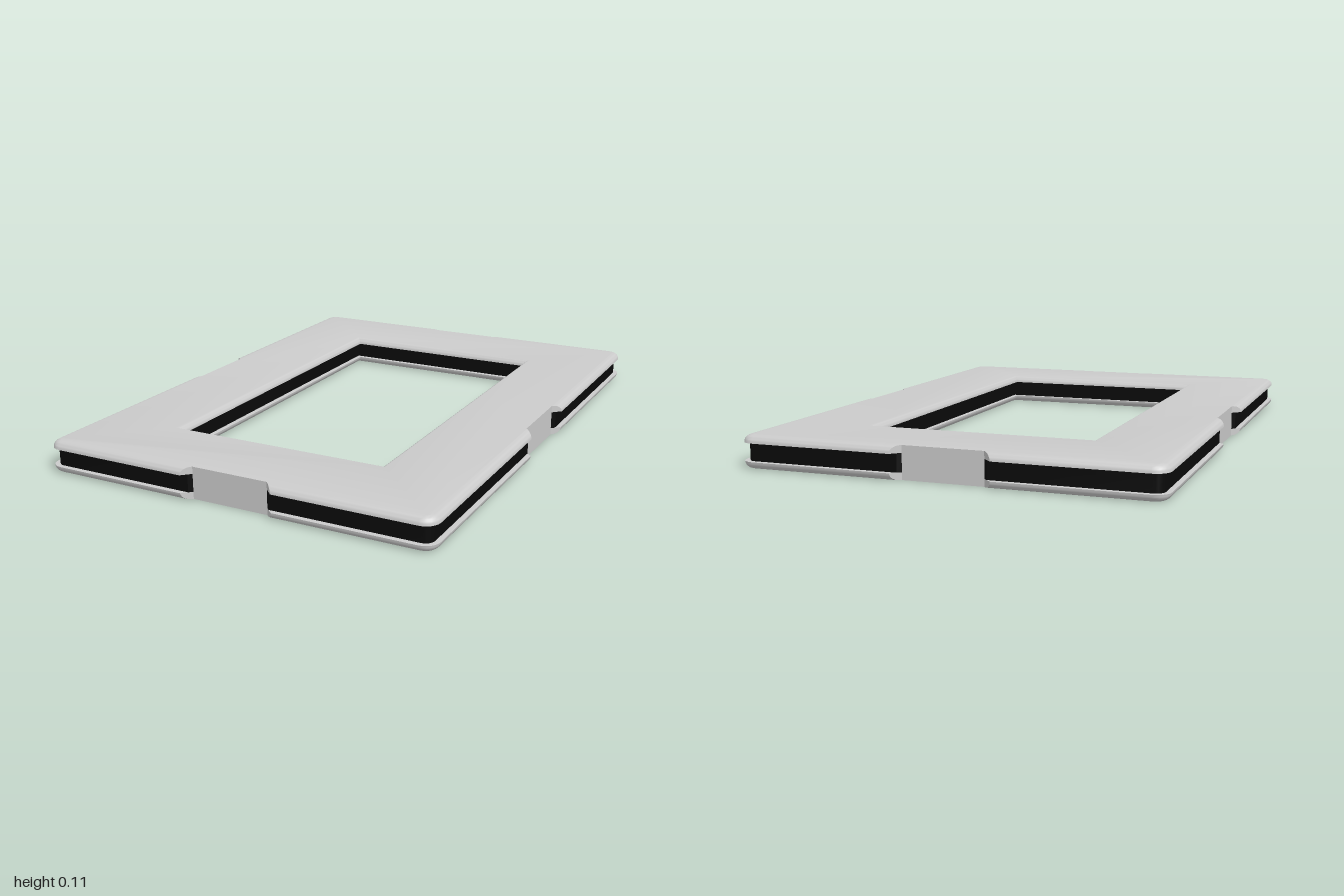
import * as THREE from 'three';
import { mergeGeometries, toCreasedNormals } from 'three/addons/utils/BufferGeometryUtils.js';

const HX = 0.72, HZ = 1;          // outer half size
const IX = 0.39, IZ = 0.67;       // opening half size
const MID = 0.056, CORE = 0.031;  // half of total height, half of core height
const CORNER = 0.05, ROUND_IN = 0.027, ROUND_UP = 0.025;
const NOTCH = 0.03, NOTCH_HALF = 0.17, GROOVE = 0.018;

// Outer outline inset by d, with a chamfered notch of fixed depth in every side
function outerLoop(d, notch = NOTCH) {
  const pts = [];
  for (let k = 0; k < 4; k++) {
    const [A, B] = k % 2 ? [HX, HZ] : [HZ, HX];
    const side = [
      [-(NOTCH_HALF - d), A - d], [-(NOTCH_HALF - notch), A - notch],
      [NOTCH_HALF - notch, A - notch], [NOTCH_HALF - d, A - d],
    ];
    for (let i = 0; i <= 6; i++) {
      const a = (i / 6) * Math.PI / 2, r = CORNER - d;
      side.push([B - CORNER + r * Math.sin(a), A - CORNER + r * Math.cos(a)]);
    }
    for (const [t, n] of side) pts.push([[t, -n], [n, t], [-t, n], [-n, -t]][k]);
  }
  return pts;
}

// Opening outline grown by d, running the other way round
function innerLoop(d) {
  const x = IX + d, z = IZ + d;
  return [[-x, -z], [-x, z], [x, z], [x, -z]];
}

// Wall joining two matching outlines at heights y0 and y1
function band(lower, y0, upper, y1) {
  const pos = [], n = lower.length;
  for (let i = 0; i < n; i++) {
    const j = (i + 1) % n;
    const a = [lower[i][0], y0, -lower[i][1]], b = [lower[j][0], y0, -lower[j][1]];
    const c = [upper[j][0], y1, -upper[j][1]], e = [upper[i][0], y1, -upper[i][1]];
    pos.push(...a, ...b, ...c, ...a, ...c, ...e);
  }
  const g = new THREE.BufferGeometry();
  g.setAttribute('position', new THREE.Float32BufferAttribute(pos, 3));
  return g;
}

// Flat frame-shaped face, looking up or down
function cap(d, y, up) {
  const toV = (p) => new THREE.Vector2(p[0], p[1]);
  const shape = new THREE.Shape(outerLoop(d).map(toV));
  shape.holes.push(new THREE.Path(innerLoop(d).map(toV)));
  const g = new THREE.ShapeGeometry(shape).toNonIndexed();
  g.deleteAttribute('uv');
  g.deleteAttribute('normal');
  return g.rotateX(up ? -Math.PI / 2 : Math.PI / 2).translate(0, y, 0);
}

// Plate with quarter-round edges above a flat underside
function plateGeometry() {
  const steps = 6, parts = [cap(0, CORE, false), cap(ROUND_IN, MID, true)];
  const level = (i) => {
    const a = (i / steps) * Math.PI / 2;
    return [ROUND_IN * (1 - Math.cos(a)), CORE + ROUND_UP * Math.sin(a)];
  };
  for (let i = 0; i < steps; i++) {
    const [d0, y0] = level(i), [d1, y1] = level(i + 1);
    parts.push(band(outerLoop(d0), y0, outerLoop(d1), y1));
    parts.push(band(innerLoop(d0), y0, innerLoop(d1), y1));
  }
  return toCreasedNormals(mergeGeometries(parts), 0.6);
}

export function createModel() {
  const group = new THREE.Group();
  const grey = new THREE.MeshStandardMaterial({ color: 0xcccccc });
  const black = new THREE.MeshStandardMaterial({ color: 0x0a0a0a });
  const add = (name, geometry, material) => {
    const mesh = new THREE.Mesh(geometry, material);
    mesh.name = name;
    mesh.position.y = MID;
    group.add(mesh);
    return mesh;
  };

  // Upper and lower plates
  const plate = plateGeometry();
  add('upperPlate', plate, grey);
  add('lowerPlate', plate, grey).rotation.z = Math.PI;

  // Dark recessed core between the plates
  const outer = outerLoop(GROOVE, 0.04), inner = innerLoop(GROOVE);
  const core = mergeGeometries([band(outer, -CORE, outer, CORE), band(inner, -CORE, inner, CORE)]);
  add('core', toCreasedNormals(core, 0.6), black);

  // Blocks closing the groove inside the four notches
  const width = 2 * (NOTCH_HALF - NOTCH), depth = 0.03;
  for (const s of [1, -1]) {
    const endBlock = add(s > 0 ? 'frontNotchBlock' : 'backNotchBlock',
      new THREE.BoxGeometry(width, 2 * CORE, depth), grey);
    endBlock.position.z = s * (HZ - NOTCH - depth / 2);
    const sideBlock = add(s > 0 ? 'leftNotchBlock' : 'rightNotchBlock',
      new THREE.BoxGeometry(depth, 2 * CORE, width), grey);
    sideBlock.position.x = s * (HX - NOTCH - depth / 2);
  }
  return group;
}
